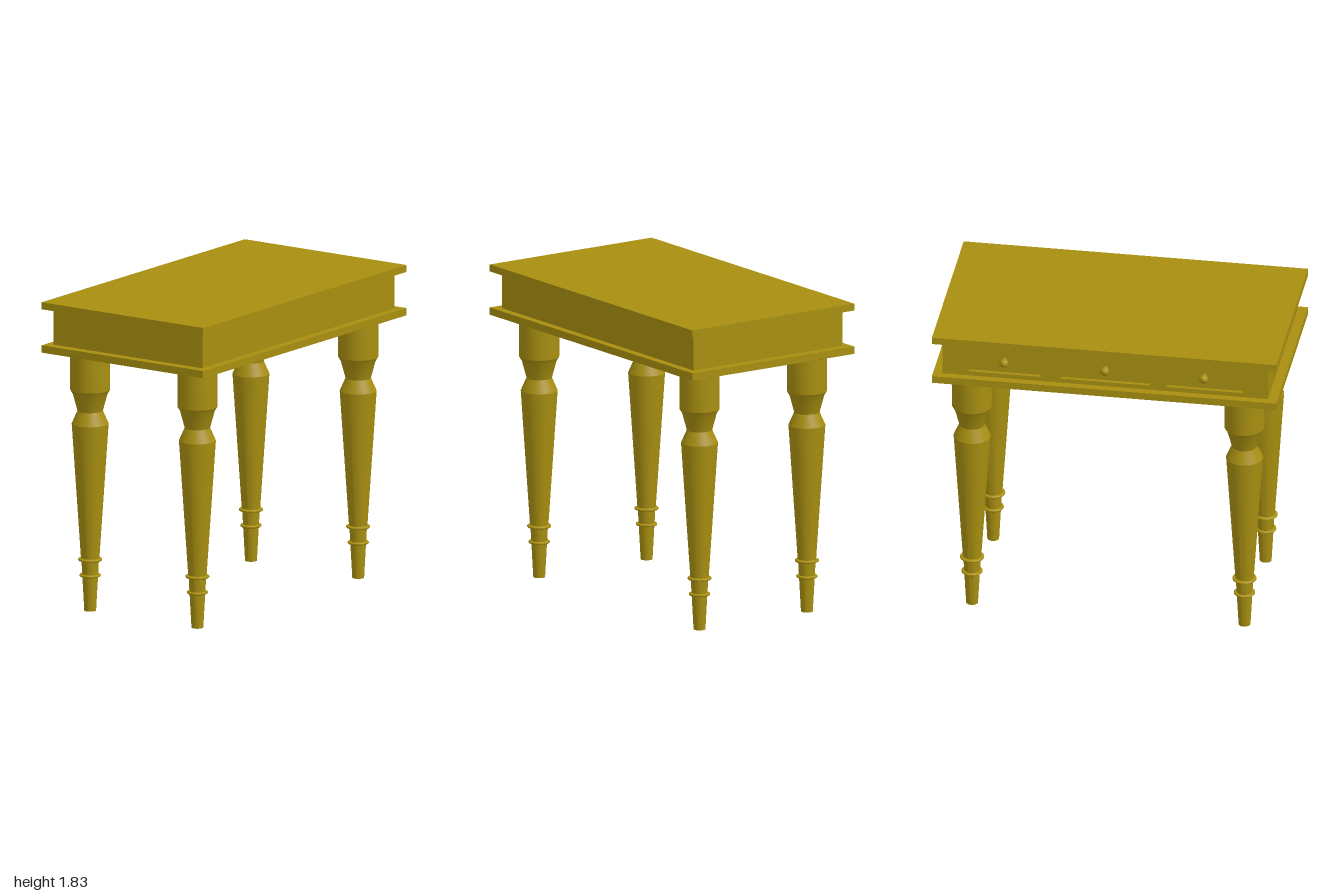
import * as THREE from 'three';
import { toCreasedNormals } from 'three/addons/utils/BufferGeometryUtils.js';

export function createModel() {
  const table = new THREE.Group();
  table.name = 'table';
  const wood = new THREE.MeshStandardMaterial({ color: 0xa88f10 });

  function add(name, geometry, x, y, z, parent = table) {
    const mesh = new THREE.Mesh(geometry, wood);
    mesh.name = name;
    mesh.position.set(x, y, z);
    parent.add(mesh);
    return mesh;
  }

  // Box given by its x range, y range and half depth
  function slab(name, x0, x1, y0, y1, halfZ) {
    add(name, new THREE.BoxGeometry(x1 - x0, y1 - y0, halfZ * 2), (x0 + x1) / 2, (y0 + y1) / 2, 0);
  }

  function lathe(points, segments) {
    const geometry = new THREE.LatheGeometry(points.map(([r, y]) => new THREE.Vector2(r, y)), segments);
    return toCreasedNormals(geometry, 0.4);
  }

  // Top, bottom board and the apron core
  slab('tableTop', -0.567, 0.573, 1.785, 1.826, 1);
  slab('bottomBoard', -0.567, 0.573, 1.53, 1.573, 1);
  slab('apron', -0.5, 0.527, 1.573, 1.785, 0.945);

  // Drawer side: a frame with three openings, showing the recessed drawer fronts
  const drawers = [[-0.585, 0.21], [0, 0.26], [0.575, 0.22]];
  const frame = new THREE.Shape();
  frame.moveTo(-0.945, 1.573).lineTo(0.945, 1.573).lineTo(0.945, 1.785).lineTo(-0.945, 1.785).closePath();
  for (const [z, half] of drawers) {
    const hole = new THREE.Path();
    hole.moveTo(z - half, 1.6).lineTo(z - half, 1.765).lineTo(z + half, 1.765).lineTo(z + half, 1.6).closePath();
    frame.holes.push(hole);
  }
  const frameGeometry = new THREE.ExtrudeGeometry(frame, { depth: 0.022, bevelEnabled: false });
  frameGeometry.rotateY(-Math.PI / 2);
  add('drawerFrame', frameGeometry, -0.5, 0, 0);

  // Round knobs on short stems
  const stemGeometry = new THREE.CylinderGeometry(0.011, 0.011, 0.045, 16).rotateZ(Math.PI / 2);
  const knobGeometry = new THREE.SphereGeometry(0.026, 20, 14);
  for (const [z] of drawers) {
    const knob = new THREE.Group();
    knob.name = 'drawerKnob';
    knob.position.set(-0.547, 1.685, z);
    add('knobStem', stemGeometry, 0.025, 0, 0, knob);
    add('knobBall', knobGeometry, 0, 0, 0, knob);
    table.add(knob);
  }

  // Turned leg, from the foot up to the flange
  const legGeometry = lathe([
    [0, 0], [0.034, 0], [0.045, 0.2],
    [0.056, 0.201], [0.061, 0.205], [0.061, 0.211], [0.056, 0.215], [0.046, 0.216],
    [0.05, 0.293],
    [0.064, 0.294], [0.069, 0.298], [0.069, 0.304], [0.064, 0.308], [0.053, 0.31],
    [0.106, 1.1], [0.073, 1.175], [0.1, 1.275], [0.115, 1.3],
    [0.115, 1.507], [0.13, 1.507], [0.135, 1.512], [0.135, 1.535], [0, 1.535],
  ], 40);
  for (const x of [-0.378, 0.378]) {
    for (const z of [-0.797, 0.785]) add('leg', legGeometry, x, 0, z);
  }

  return table;
}
